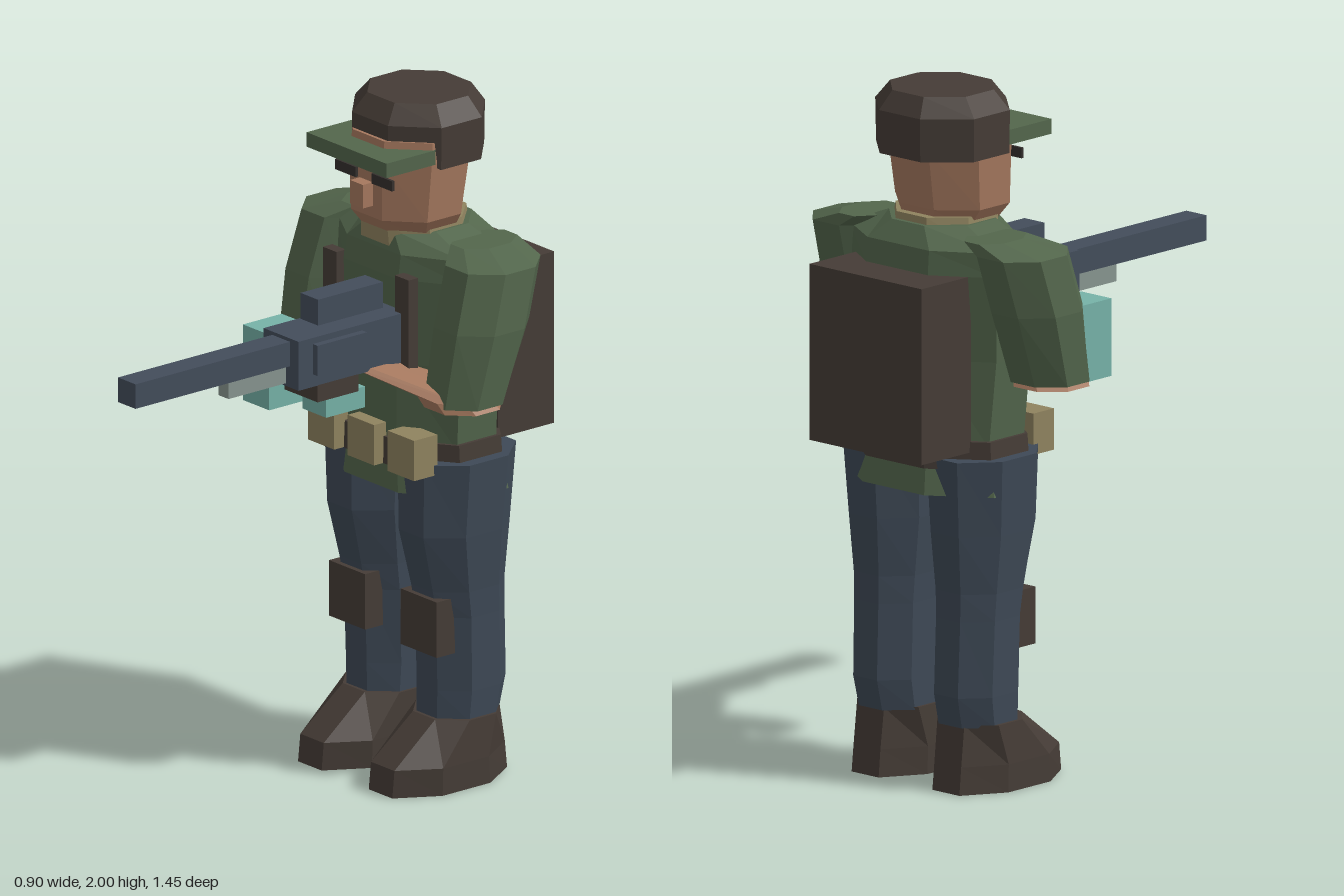
import * as THREE from 'three';

function mat(name, color) {
  const m = new THREE.MeshStandardMaterial({ color });
  m.name = name;
  return m;
}

// Faceted body from stacked octagonal rings: [y, centreX, halfWidth, zFront, zBack]
function loft(rings, sides = 8) {
  const pos = [], idx = [], k = 1 / Math.cos(Math.PI / sides);
  for (const [y, cx, rx, zf, zb] of rings) {
    for (let i = 0; i < sides; i++) {
      const a = ((i + 0.5) / sides) * Math.PI * 2;
      pos.push(cx + Math.cos(a) * rx * k, y, (zf + zb) / 2 + Math.sin(a) * k * (zf - zb) / 2);
    }
  }
  const last = (rings.length - 1) * sides;
  for (let i = 0; i < sides; i++) {
    const j = (i + 1) % sides;
    for (let r = 0; r < last; r += sides) {
      idx.push(r + i, r + sides + i, r + sides + j, r + i, r + sides + j, r + j);
    }
    if (i > 0 && i < sides - 1) {
      idx.push(0, i, i + 1, last, last + i + 1, last + i); // end caps
    }
  }
  const g = new THREE.BufferGeometry();
  g.setAttribute('position', new THREE.Float32BufferAttribute(pos, 3));
  g.setIndex(idx);
  const flat = g.toNonIndexed();
  flat.computeVertexNormals();
  return flat;
}

export function createModel() {
  const model = new THREE.Group();
  model.name = 'soldier';
  const green = mat('jacket green', 0x53664c);
  const brown = mat('dark brown', 0x453c36);
  const navy = mat('trouser blue', 0x3e4956);
  const steel = mat('gun steel', 0x434d5b);
  const skin = mat('skin', 0xa5785e);
  const tan = mat('tan', 0x8f835f);
  const teal = mat('glove teal', 0x76b2a8);
  const grey = mat('light grey', 0x87958f);
  const dark = mat('eye dark', 0x35302e);

  const add = (name, geo, m) => {
    const mesh = new THREE.Mesh(geo, m);
    mesh.name = name;
    model.add(mesh);
    return mesh;
  };
  // Box given by its limits on each axis
  const box = (name, m, x0, x1, y0, y1, z0, z1) => {
    const mesh = add(name, new THREE.BoxGeometry(x1 - x0, y1 - y0, z1 - z0), m);
    mesh.position.set((x0 + x1) / 2, (y0 + y1) / 2, (z0 + z1) / 2);
    return mesh;
  };

  // Jacket with flared hem
  add('jacket', loft([
    [0.865, 0, 0.285, -0.235, -0.61],
    [1.0, 0, 0.25, -0.24, -0.585],
    [1.25, 0, 0.27, -0.235, -0.575],
    [1.5, 0, 0.285, -0.235, -0.595],
    [1.57, 0, 0.285, -0.245, -0.59],
    [1.625, 0, 0.15, -0.265, -0.55],
  ]), green);
  add('belt', loft([
    [0.94, 0, 0.268, -0.228, -0.603],
    [1.02, 0, 0.262, -0.23, -0.6],
  ]), brown);
  for (const x of [-0.172, 0.003, 0.178]) {
    box('pouch', tan, x - 0.058, x + 0.058, 0.94, 1.06, -0.28, -0.195);
  }
  box('backpack', brown, -0.215, 0.215, 0.99, 1.5, -0.725, -0.52);

  // Head
  add('collar', loft([
    [1.57, 0, 0.15, -0.25, -0.545],
    [1.645, 0, 0.14, -0.245, -0.535],
  ]), tan);
  add('head', loft([
    [1.6, 0, 0.12, -0.265, -0.5],
    [1.665, 0, 0.163, -0.218, -0.515],
    [1.84, 0, 0.175, -0.215, -0.543],
    [1.9, 0, 0.17, -0.225, -0.543],
  ]), skin);
  box('nose', skin, -0.027, 0.03, 1.7, 1.77, -0.235, -0.18);
  for (const s of [-1, 1]) {
    box('eye', dark, s * 0.08 - 0.045, s * 0.08 + 0.045, 1.77, 1.8, -0.216, -0.207);
  }

  // Cap, its lower edge raised over the forehead
  const cap = loft([
    [1.82, -0.005, 0.188, -0.235, -0.588],
    [1.945, -0.005, 0.19, -0.235, -0.59],
    [2.0, -0.005, 0.145, -0.275, -0.555],
  ]);
  const p = cap.attributes.position;
  for (let i = 0; i < p.count; i++) {
    if (p.getY(i) < 1.83 && p.getZ(i) > -0.3) p.setY(i, 1.885);
  }
  cap.computeVertexNormals();
  add('cap', cap, brown);
  box('capBrim', green, -0.175, 0.175, 1.837, 1.88, -0.325, -0.145);

  for (const s of [-1, 1]) {
    // Legs and boots
    add('trouserLeg', loft([
      [0.19, s * 0.153, 0.108, -0.31, -0.54],
      [0.28, s * 0.155, 0.11, -0.31, -0.56],
      [0.5, s * 0.157, 0.112, -0.305, -0.553],
      [0.58, s * 0.157, 0.115, -0.29, -0.553],
      [0.75, s * 0.157, 0.13, -0.25, -0.567],
      [0.97, s * 0.16, 0.142, -0.247, -0.583],
    ]), navy);
    add('boot', loft([
      [0, s * 0.155, 0.125, -0.14, -0.56],
      [0.08, s * 0.155, 0.124, -0.148, -0.552],
      [0.198, s * 0.154, 0.117, -0.3, -0.535],
    ]), brown);
    box('kneePad', brown, s * 0.157 - 0.079, s * 0.157 + 0.079, 0.395, 0.56, -0.345, -0.278);
    box('shoulderStrap', brown, s * 0.158 - 0.03, s * 0.158 + 0.03, 1.2, 1.52, -0.25, -0.215);

    // Sleeves
    add('sleeve', loft([
      [1.185, s * 0.32, 0.112, -0.2, -0.42],
      [1.4, s * 0.325, 0.123, -0.235, -0.5],
      [1.57, s * 0.315, 0.122, -0.285, -0.55],
      [1.605, s * 0.24, 0.07, -0.35, -0.545],
    ]), green);
  }

  // Bare forearms reaching in to the gun
  add('rightForearm', loft([
    [1.17, -0.32, 0.108, -0.2, -0.41],
    [1.2, -0.3, 0.105, -0.18, -0.39],
    [1.28, 0.06, 0.065, 0.08, -0.06],
  ]), skin);
  add('leftForearm', loft([
    [1.17, 0.32, 0.108, -0.2, -0.41],
    [1.2, 0.3, 0.105, -0.19, -0.39],
    [1.28, 0.08, 0.06, -0.06, -0.18],
  ]), skin);
  box('rightGlove', teal, -0.23, -0.115, 1.11, 1.335, -0.1, 0.042);
  box('leftGlove', teal, 0.03, 0.135, 1.155, 1.217, -0.1, 0.042);

  // Gun
  box('gunBody', steel, 0.002, 0.155, 1.267, 1.413, -0.24, 0.16);
  box('gunSidePlate', steel, 0.15, 0.176, 1.305, 1.395, -0.073, 0.108);
  box('gunBarrel', steel, 0.04, 0.117, 1.33, 1.403, 0.15, 0.725);
  box('gunSight', steel, 0.04, 0.117, 1.428, 1.505, -0.18, 0.057);
  box('gunForegrip', grey, 0.055, 0.1, 1.275, 1.333, 0.155, 0.37);
  box('gunMagazine', brown, 0.01, 0.155, 1.217, 1.268, -0.06, 0.09);

  return model;
}
